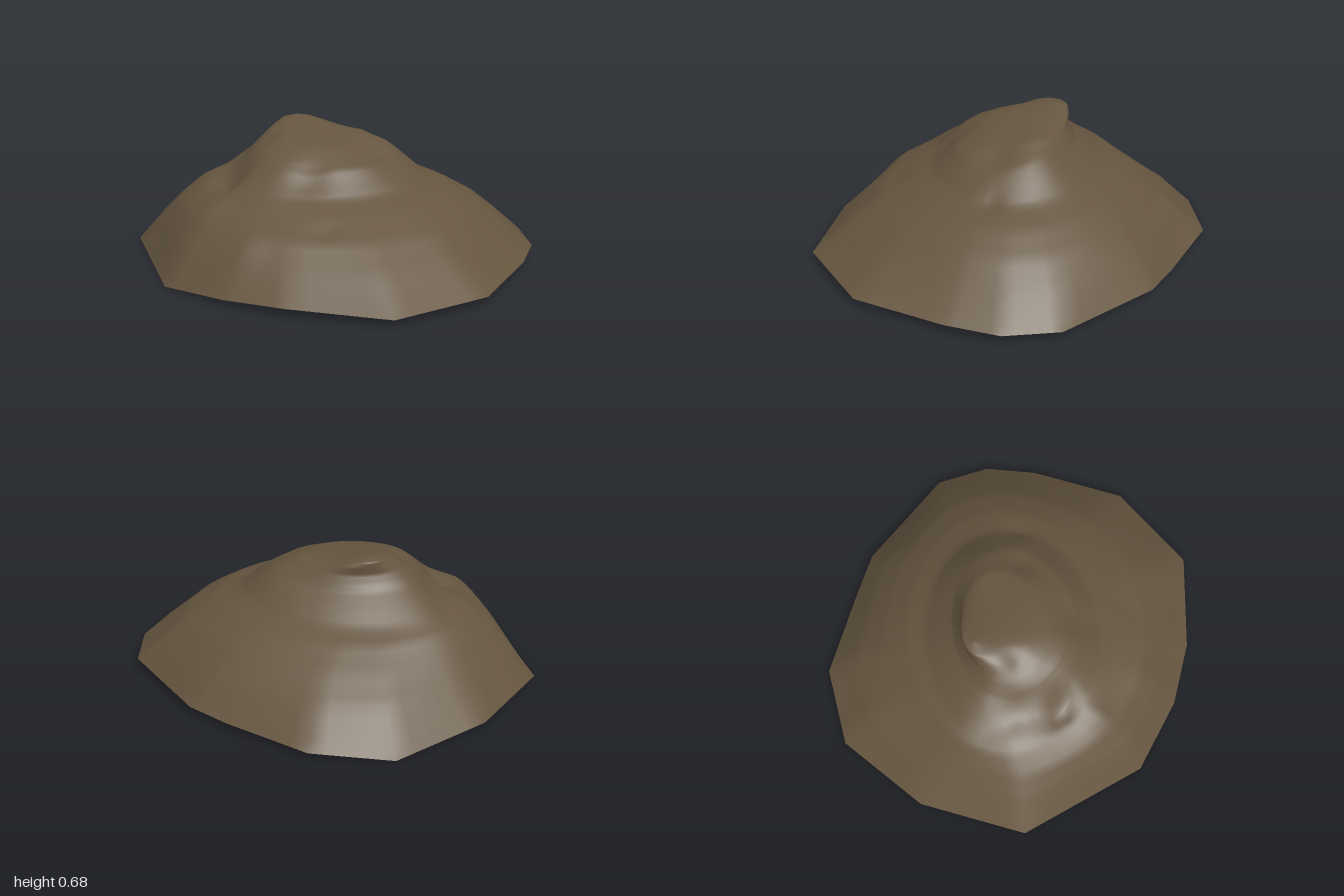
import * as THREE from 'three';

// Foot of the mound: x, z and height of each corner
const RIM = [
  [-0.47, -0.905, 0.03], [0, -0.915, 0.03], [0.23, -0.91, 0.04], [0.77, -0.70, 0.045],
  [0.935, -0.47, 0.045], [0.99, -0.2, 0.05], [1, 0.3, 0.045], [0.73, 0.745, 0.04],
  [0.25, 0.89, 0.05], [-0.08, 0.91, 0.035], [-0.47, 0.835, 0.0], [-0.98, 0.36, 0.015],
  [-1, -0.2, 0.025], [-0.81, -0.69, 0.0],
];

// Contours going up: height, min x, max x, min z, max z
const LEVELS = [
  [0.03, -1, 1, -0.915, 0.91], [0.18, -0.87, 0.84, -0.79, 0.79],
  [0.28, -0.785, 0.72, -0.68, 0.69], [0.36, -0.71, 0.58, -0.56, 0.55],
  [0.41, -0.64, 0.45, -0.45, 0.47], [0.47, -0.55, 0.37, -0.38, 0.40],
  [0.525, -0.47, 0.30, -0.31, 0.34], [0.56, -0.43, 0.21, -0.28, 0.29],
  [0.60, -0.39, 0.13, -0.25, 0.20], [0.64, -0.36, -0.08, -0.22, 0.09],
  [0.665, -0.34, -0.20, -0.19, -0.02], [0.68, -0.28, -0.28, -0.13, -0.13],
];

// Dents (positive) and lumps (negative): x, z, radius, depth
const DENTS = [
  [-0.62, 0.05, 0.08, 0.02], [-0.5, 0.15, 0.1, 0.045], [-0.4, 0.36, 0.07, 0.06],
  [-0.43, 0.28, 0.14, 0.04], [-0.38, 0.56, 0.08, -0.02], [-0.3, 0.1, 0.06, 0.02],
  [0.05, 0.31, 0.09, 0.025], [0.25, -0.04, 0.08, 0.02], [0.45, -0.14, 0.06, 0.015],
  [0.27, 0.53, 0.035, 0.02], [-0.06, 0.75, 0.07, -0.015], [0.17, -0.27, 0.15, -0.035],
];

const EDGE_STEPS = 5;
const RING_STEPS = 4;
const { lerp } = THREE.MathUtils;
const mix = (a, b, t) => a.map((v, i) => lerp(v, b[i], t));

// How far each diagonal bulges: lean front left and back right, full on the others
function bulge(u, v) {
  const diagonal = (u * v) / (u * u + v * v);
  if (diagonal > 0) return 1 - 0.18 * diagonal;
  return 1 - (u > 0 ? 0.24 : 0.09) * diagonal;
}

function subdivide(list, steps, closed) {
  const out = [];
  const spans = closed ? list.length : list.length - 1;
  for (let i = 0; i < spans; i++)
    for (let s = 0; s < steps; s++) out.push(mix(list[i], list[(i + 1) % list.length], s / steps));
  if (!closed) out.push(list[list.length - 1]);
  return out;
}

function moundGeometry() {
  const rim = subdivide(RIM, EDGE_STEPS, true);
  const rings = subdivide(LEVELS, RING_STEPS, false);
  const n = rim.length;
  const positions = [];
  const indices = [];

  rings.forEach(([y, x0, x1, z0, z1], r) => {
    const t = r / (rings.length - 1);
    const round = Math.min(1, t * 3); // the angular foot becomes round higher up
    const footing = Math.max(0, 1 - r / RING_STEPS);
    for (const [px, pz, py] of rim) {
      const u = px, v = pz / 0.9125;
      const k = lerp(1, bulge(u, v) / Math.hypot(u, v), round);
      const x = (x0 + x1) / 2 + u * k * (x1 - x0) / 2;
      const z = (z0 + z1) / 2 + v * k * (z1 - z0) / 2;
      let h = y + (py - 0.03) * footing;
      for (const [dx, dz, radius, depth] of DENTS) {
        const d2 = ((x - dx) ** 2 + (z - dz) ** 2) / radius ** 2;
        h -= depth * Math.exp(-d2) * (1 - footing);
      }
      positions.push(x, h, z);
    }
  });

  for (let r = 0; r < rings.length - 1; r++)
    for (let i = 0; i < n; i++) {
      const a = r * n + i, b = r * n + (i + 1) % n;
      indices.push(a, a + n, b);
      if (r < rings.length - 2) indices.push(b, a + n, b + n);
    }

  // Close the summit onto one shared point
  const top = (rings.length - 1) * n;
  const index = indices.map((i) => (i >= top ? top : i));
  const geometry = new THREE.BufferGeometry();
  geometry.setAttribute('position', new THREE.Float32BufferAttribute(positions.slice(0, (top + 1) * 3), 3));
  geometry.setIndex(index);
  geometry.computeVertexNormals();
  return geometry;
}

export function createModel() {
  const group = new THREE.Group();
  group.name = 'earthMound';
  // Hollow shell, open underneath
  const earth = new THREE.MeshStandardMaterial({ color: 0x665640, side: THREE.DoubleSide });
  earth.name = 'brown earth';
  const mound = new THREE.Mesh(moundGeometry(), earth);
  mound.name = 'mound';
  group.add(mound);
  return group;
}
